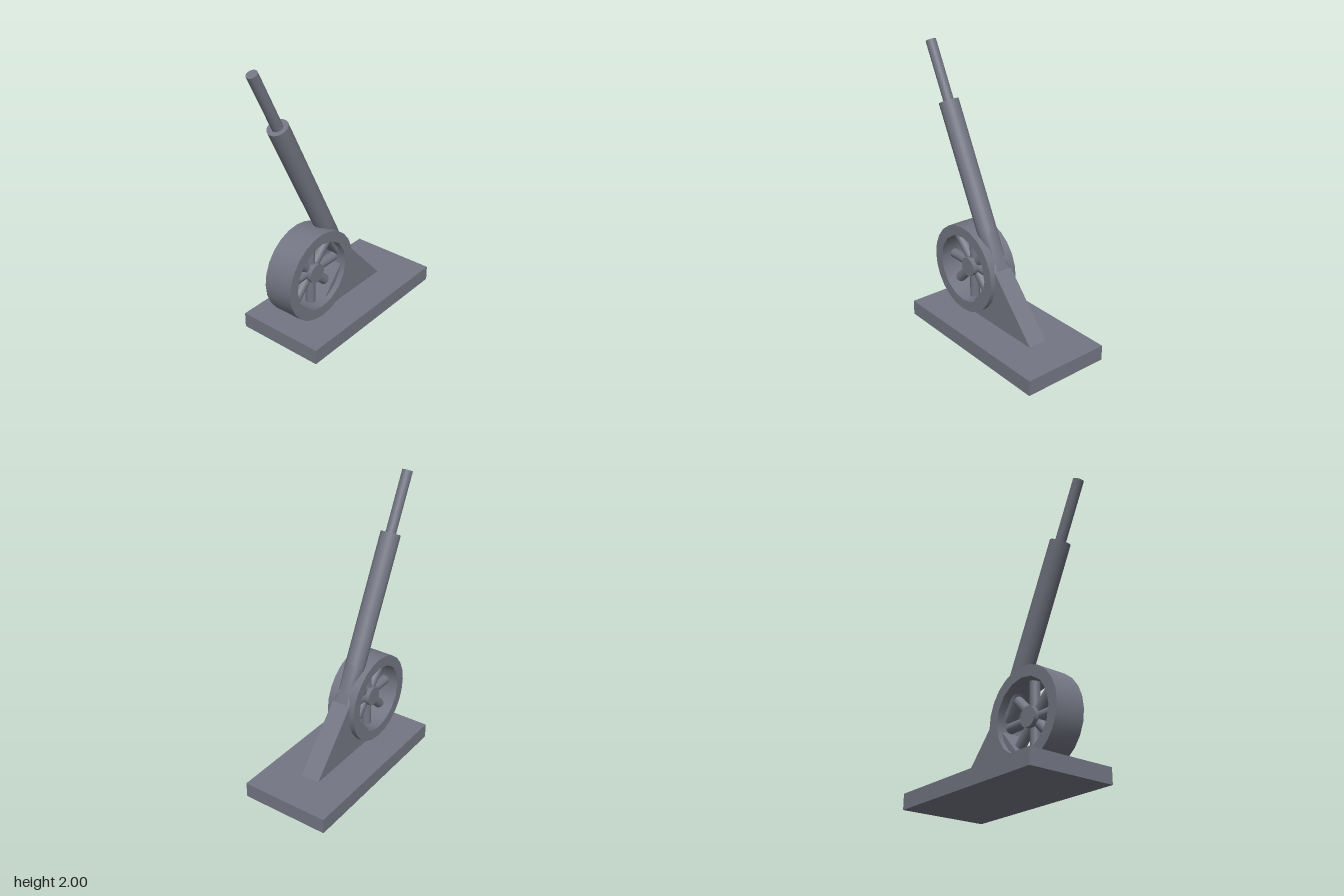
import * as THREE from 'three';
import { toCreasedNormals } from 'three/addons/utils/BufferGeometryUtils.js';

// Smooth neck that blends the round barrel into the flat top of the wedge,
// with a slight waist at its sides
function neckGeometry() {
  const rows = 12, cols = 32;
  const centre = [new THREE.Vector2(-0.093, 0.754), new THREE.Vector2(0.0555, 0.4755)];
  const across = [new THREE.Vector2(0.0635, 0.0317), new THREE.Vector2(0.0245, 0.0455)];
  const positions = [], index = [];
  for (let i = 0; i <= rows; i++) {
    const t = i / rows;
    const c = centre[0].clone().lerp(centre[1], t);
    const u = across[0].clone().lerp(across[1], t);
    const halfDepth = 0.071 * (1 - 0.25 * Math.sin(Math.PI * t ** 1.5));
    for (let j = 0; j < cols; j++) {
      const a = (j / cols) * Math.PI * 2;
      const cos = Math.cos(a), sin = Math.sin(a);
      // circle at the barrel, square at the wedge
      const k = 1 - t + t / Math.max(Math.abs(cos), Math.abs(sin));
      positions.push(c.x + u.x * cos * k, c.y + u.y * cos * k, halfDepth * sin * k);
      if (i < rows) {
        const p = i * cols + j, q = i * cols + ((j + 1) % cols);
        index.push(p, q, q + cols, p, q + cols, p + cols);
      }
    }
  }
  const geometry = new THREE.BufferGeometry();
  geometry.setAttribute('position', new THREE.Float32BufferAttribute(positions, 3));
  geometry.setIndex(index);
  geometry.computeVertexNormals();
  return geometry;
}

export function createModel() {
  const group = new THREE.Group();
  const material = new THREE.MeshStandardMaterial({ color: 0x737683 });
  const add = (name, geometry, parent = group) => {
    const mesh = new THREE.Mesh(geometry, material);
    mesh.name = name;
    parent.add(mesh);
    return mesh;
  };
  // Extrudes a shape symmetrically about z = 0
  const slab = (shape, depth) =>
    new THREE.ExtrudeGeometry(shape, { depth, bevelEnabled: false, curveSegments: 1 }).translate(0, 0, -depth / 2);
  const polygon = (radius, sides) => Array.from({ length: sides }, (_, i) => {
    const a = (i / sides) * Math.PI * 2;
    return new THREE.Vector2(Math.cos(a) * radius, Math.sin(a) * radius);
  });

  // Base plate
  add('basePlate', new THREE.BoxGeometry(1.303, 0.11, 0.65).translate(0.09, 0.055, 0));

  // Wedge trail that supports the barrel
  const wedge = new THREE.Shape([
    [-0.24, 0.11], [0.453, 0.11], [0.08, 0.521], [0.031, 0.43],
  ].map(([x, y]) => new THREE.Vector2(x, y)));
  add('trailWedge', slab(wedge, 0.142));
  add('barrelNeck', neckGeometry());

  // Single wide wheel: rim, hub and eight round spokes
  const wheel = new THREE.Group();
  wheel.name = 'wheel';
  wheel.position.set(-0.237, 0.438, 0);
  group.add(wheel);
  const rim = new THREE.Shape(polygon(0.325, 24));
  rim.holes.push(new THREE.Path(polygon(0.25, 16)));
  add('rim', toCreasedNormals(slab(rim, 0.22), 0.6), wheel);
  add('hub', new THREE.CylinderGeometry(0.07, 0.07, 0.13, 20).rotateX(Math.PI / 2), wheel);
  for (let i = 0; i < 8; i++) {
    const spoke = add('spoke', new THREE.CylinderGeometry(0.036, 0.036, 0.25, 14).translate(0, 0.135, 0), wheel);
    spoke.rotation.z = (i * Math.PI) / 4;
  }

  // Barrel assembly, built upright from its muzzle collar and then tilted
  const barrel = new THREE.Group();
  barrel.name = 'barrel';
  barrel.position.set(-0.513, 1.595, 0);
  barrel.rotation.z = Math.atan(0.5);
  group.add(barrel);
  const section = (name, top, bottom, radius) =>
    add(name, new THREE.CylinderGeometry(radius, radius, top - bottom, 28).translate(0, (top + bottom) / 2, 0), barrel);
  section('innerTube', 0.436, -0.05, 0.037);
  section('outerTube', 0, -0.94, 0.071);

  return group;
}
